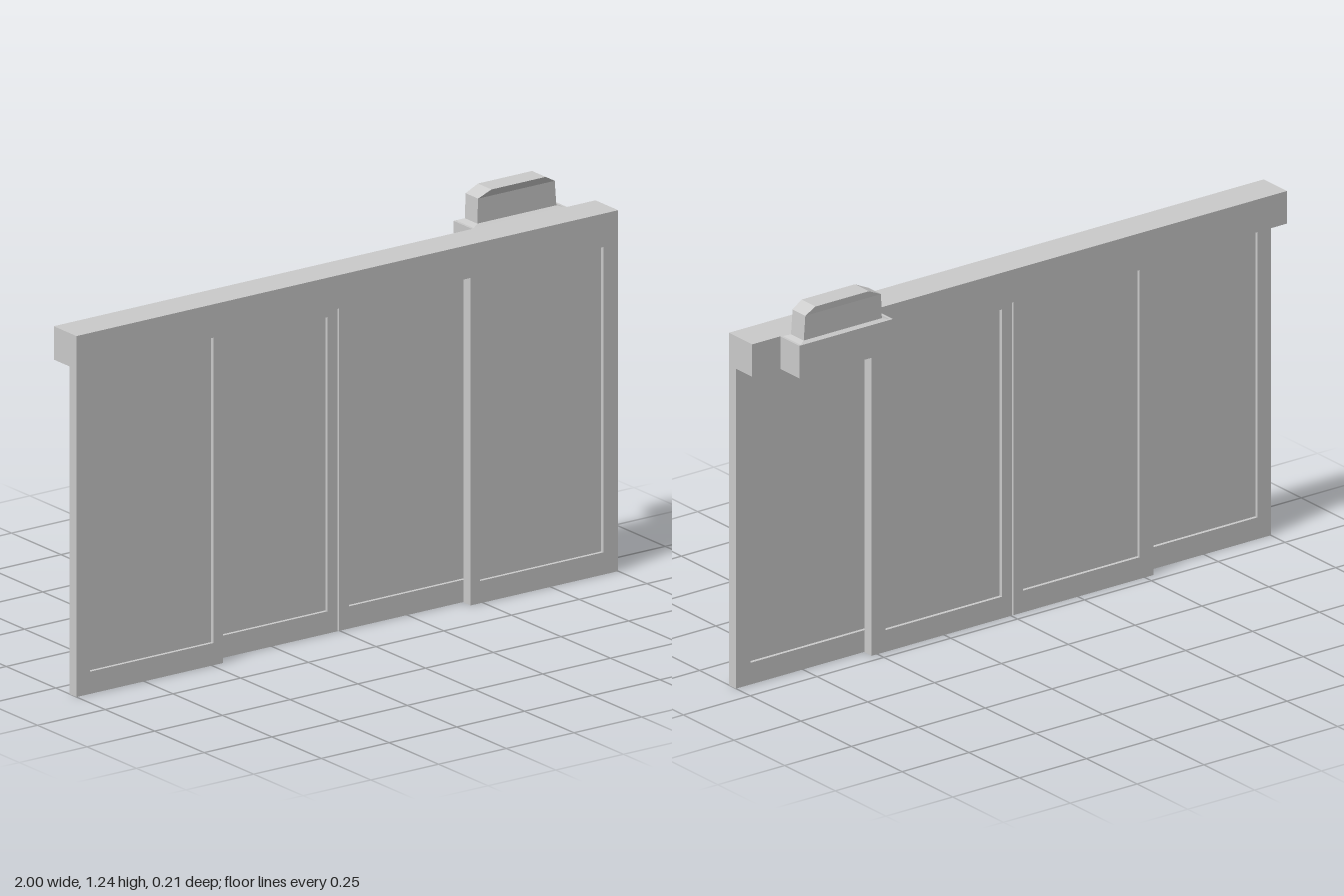
import * as THREE from 'three';

const material = new THREE.MeshStandardMaterial({ color: 0xcccccc, flatShading: true });

// Box given by its limits on each axis
function block(name, [x0, x1], [y0, y1], [z0, z1]) {
  const mesh = new THREE.Mesh(new THREE.BoxGeometry(x1 - x0, y1 - y0, z1 - z0), material);
  mesh.position.set((x0 + x1) / 2, (y0 + y1) / 2, (z0 + z1) / 2);
  mesh.name = name;
  return mesh;
}

// Door panel: stiles and rails around a pane recessed on both sides
function panel(name, [x0, x1], [o0, o1], openTop, top, [z0, z1]) {
  const group = new THREE.Group();
  const z = [z0, z1], bottom = 0.07, recess = 0.011;
  group.name = name;
  group.add(
    block('outerStile', [x0, o0], [0, top], z),
    block('innerStile', [o1, x1], [0, top], z),
    block('bottomRail', [o0, o1], [0, bottom], z),
    block('pane', [o0, o1], [bottom, openTop], [z0 + recess, z1 - recess])
  );
  if (openTop < top) group.add(block('topRail', [o0, o1], [openTop, top], z));
  return group;
}

// Stacked rectangular sections, each [y, x0, x1, z0, z1]
function rectLoft(name, sections) {
  const n = sections.length - 1;
  const geometry = new THREE.BoxGeometry(1, 1, 1, 1, n, 1);
  const p = geometry.attributes.position;
  for (let i = 0; i < p.count; i++) {
    const [y, x0, x1, z0, z1] = sections[Math.round((p.getY(i) + 0.5) * n)];
    p.setXYZ(i, p.getX(i) < 0 ? x0 : x1, y, p.getZ(i) < 0 ? z0 : z1);
  }
  const flat = geometry.toNonIndexed();
  flat.computeVertexNormals();
  const mesh = new THREE.Mesh(flat, material);
  mesh.name = name;
  return mesh;
}

export function createModel() {
  const model = new THREE.Group();
  model.name = 'slidingDoor';
  const headerBottom = 1.03, headerTop = 1.135;

  // Header beam across the top
  model.add(block('header', [-1, 1], [headerBottom, headerTop], [-0.01, 0.105]));

  // Fixed outer panels, flush with the header front
  const frontZ = [0.07, 0.105];
  model.add(
    panel('rightFixedPanel', [-1, -0.46], [-0.95, -0.495], headerBottom, headerBottom, frontZ),
    panel('leftFixedPanel', [0.455, 1], [0.49, 0.945], headerBottom, headerBottom, frontZ)
  );

  // Sliding panels on the rear track, meeting near the middle
  const rearZ = [0.032, 0.066];
  model.add(
    panel('rightSlidingPanel', [-0.532, -0.008], [-0.48, -0.045], 0.995, headerBottom, rearZ),
    panel('leftSlidingPanel', [-0.003, 0.522], [0.035, 0.47], 0.995, headerBottom, rearZ)
  );

  // Drive unit behind the header with its sloped cover
  model.add(
    block('driveBase', [0.545, 0.895], [headerBottom, headerTop], [-0.104, -0.01]),
    rectLoft('driveCover', [
      [1.134, 0.55, 0.89, -0.102, -0.012],
      [1.141, 0.576, 0.868, -0.09, -0.027],
      [1.219, 0.579, 0.862, -0.09, -0.027],
      [1.24, 0.625, 0.825, -0.091, -0.022]
    ])
  );

  return model;
}
